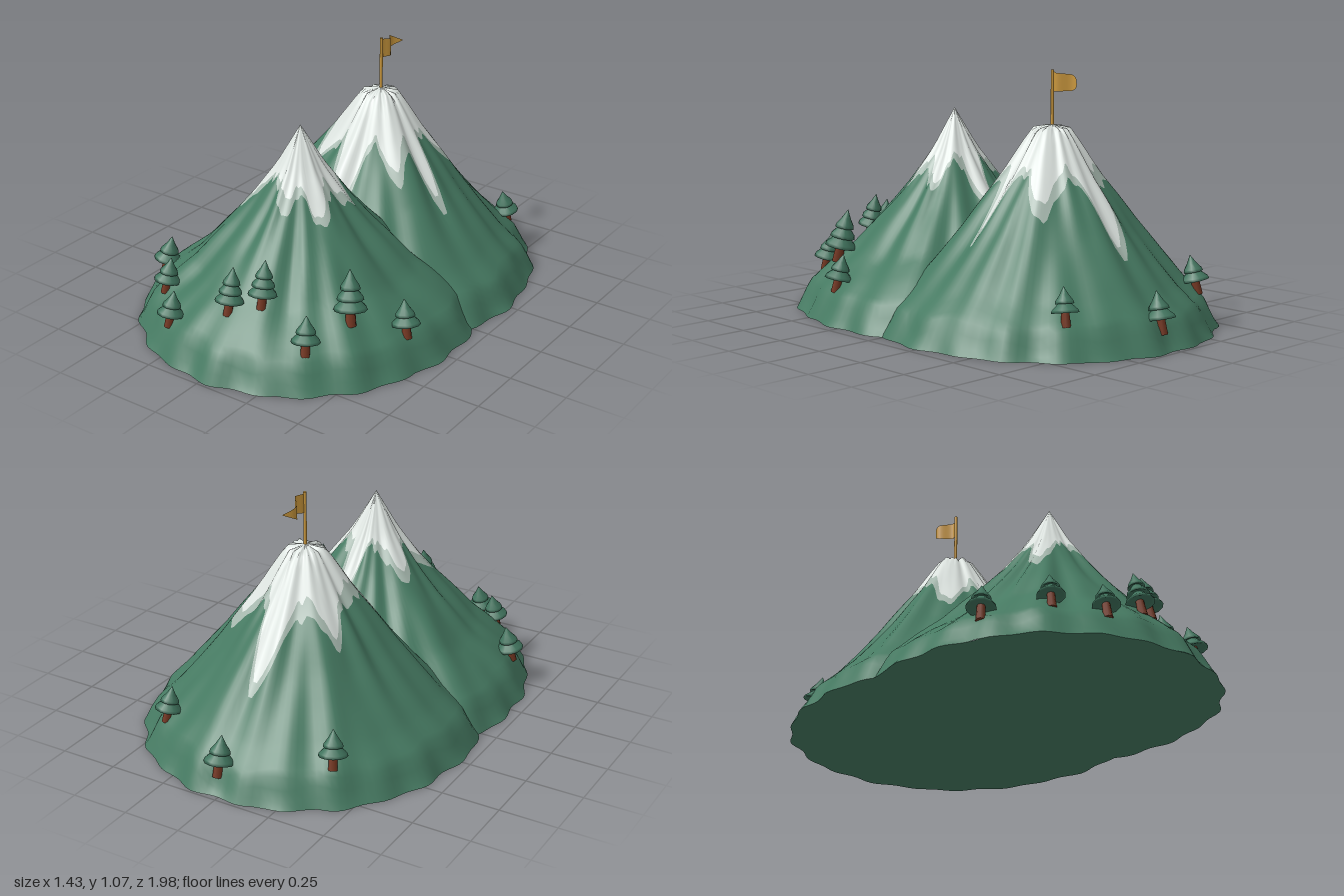
import * as THREE from 'three';

const mat = (name, color, side = THREE.FrontSide) => {
  const m = new THREE.MeshStandardMaterial({ color, side });
  m.name = name;
  return m;
};
const SEG = 144;
const FULL = 0.7;

// Each peak: centre z, slope profile [radius, height], snow arms [angle, reach, width]
const peaks = [
  {
    name: 'frontPeak', z: 0.29, dir: 1, phase: 0.4, snow: 0.11,
    profile: [[0, 0.87], [0.05, 0.78], [0.1, 0.69], [0.2, 0.55], [0.28, 0.455], [0.36, 0.37],
      [0.45, 0.27], [0.55, 0.19], [0.635, 0.115], [0.68, 0.03], [0.7, 0]],
    arms: [[3.02, 0.27, 0.2], [1.04, 0.21, 0.28], [-1.04, 0.2, 0.25], [0.25, 0.16, 0.25],
      [1.94, 0.2, 0.25], [-2.0, 0.21, 0.25]],
  },
  {
    name: 'rearPeak', z: -0.3, dir: -1, phase: 2.1, snow: 0.17,
    profile: [[0, 0.84], [0.075, 0.825], [0.12, 0.76], [0.2, 0.635], [0.28, 0.53], [0.36, 0.42],
      [0.45, 0.31], [0.55, 0.195], [0.635, 0.115], [0.68, 0.03], [0.7, 0]],
    arms: [[0, 0.37, 0.2], [Math.PI, 0.38, 0.2], [2.14, 0.27, 0.22], [-2.14, 0.27, 0.22],
      [0.84, 0.27, 0.2], [-0.84, 0.28, 0.25], [1.37, 0.35, 0.11]],
  },
];

const wrap = (a) => Math.atan2(Math.sin(a), Math.cos(a));
const bump = (a, c, w) => Math.exp(-((wrap(a - c) / w) ** 2));

// Scalloped foot of a peak, a little wider where the two peaks join
function footRadius(p, a) {
  const out = p.dir > 0 ? a : Math.PI - a;
  return 0.688 + 0.045 * (bump(out, 2.0, 0.4) + bump(out, -2.0, 0.4))
    + 0.008 * Math.sin(21 * a + p.phase) + 0.005 * Math.sin(13 * a + 1);
}

function slopeHeight(p, a, r) {
  const t = Math.min(1, r / footRadius(p, a));
  const x = t * FULL;
  const k = Math.max(1, p.profile.findIndex(([pr]) => pr >= x - 1e-6));
  const [r0, y0] = p.profile[k - 1], [r1, y1] = p.profile[k];
  const y = y0 + (y1 - y0) * (x - r0) / (r1 - r0);
  // ridges and gullies running down the slope
  const ridge = 0.5 * Math.sin(6 * a + p.phase + 1.5 * t) + 0.35 * Math.sin(11 * a + 2 * p.phase - 3 * t)
    + 0.25 * Math.sin(17 * a + 5 * t);
  const foot = 0.012 * Math.sin(15 * a + p.phase) * bump(t, 0.95, 0.04);
  return Math.max(0, y + 0.1 * ridge * t * (1 - t) + foot * (t < 1 ? 1 : 0));
}

function groundHeight(x, z) {
  return Math.max(...peaks.map((p) => slopeHeight(p, Math.atan2(x, z - p.z), Math.hypot(x, z - p.z))));
}

function snowReach(p, a) {
  const s = p.arms.reduce((m, [c, r, w]) => Math.max(m, p.snow + (r - p.snow) * bump(a, c, w)), p.snow);
  return s + 0.006 * Math.sin(23 * a) + 0.004 * Math.sin(37 * a);
}

// Polar grid whose rings follow the snow line, so every colour is a band of rings
function buildPeak(p, materials) {
  const bands = [7, 2, 22];
  const rings = bands[0] + bands[1] + bands[2];
  const pos = [], index = [];
  for (let i = 0; i <= rings; i++) {
    for (let j = 0; j < SEG; j++) {
      const a = (j / SEG) * Math.PI * 2;
      const inward = -Math.cos(a) * p.dir;
      const edge = Math.min(footRadius(p, a), inward > 0.01 ? 0.36 / inward : 9);
      const s = Math.min(snowReach(p, a), edge * 0.9);
      const f = Math.min(s * 1.1 + 0.014 + 0.014 * Math.sin(5 * a + p.phase), edge * 0.95);
      let r;
      if (i <= bands[0]) r = s * i / bands[0];
      else if (i <= bands[0] + bands[1]) r = s + (f - s) * (i - bands[0]) / bands[1];
      else r = f + (edge - f) * (i - bands[0] - bands[1]) / bands[2];
      pos.push(r * Math.sin(a), slopeHeight(p, a, r), p.z + r * Math.cos(a));
    }
  }
  for (let i = 0; i < rings; i++) {
    for (let j = 0; j < SEG; j++) {
      const n = (j + 1) % SEG;
      const a = i * SEG + j, b = a + SEG, c = (i + 1) * SEG + n, d = i * SEG + n;
      index.push(a, b, c, a, c, d);
    }
  }
  const geo = new THREE.BufferGeometry();
  geo.setAttribute('position', new THREE.Float32BufferAttribute(pos, 3));
  geo.setIndex(index);
  geo.computeVertexNormals();
  let start = 0;
  bands.forEach((n, k) => {
    geo.addGroup(start, n * SEG * 6, k);
    start += n * SEG * 6;
  });
  const mesh = new THREE.Mesh(geo, materials);
  mesh.name = p.name;
  return mesh;
}

// Flat underside following the joined outline
function buildUnderside(material) {
  const pts = [];
  for (const p of peaks) {
    for (let j = 0; j < SEG; j++) {
      const a = (p.dir > 0 ? -Math.PI : 0) + (j / SEG) * Math.PI * 2;
      const r = footRadius(p, a), z = p.z + r * Math.cos(a);
      if (z * p.dir > 0) pts.push(new THREE.Vector2(r * Math.sin(a), z));
    }
  }
  const mesh = new THREE.Mesh(new THREE.ShapeGeometry(new THREE.Shape(pts)).rotateX(Math.PI / 2), material);
  mesh.name = 'underside';
  return mesh;
}

// Fir tree: tapered trunk and stacked skirts, leaning in towards the mountain
function buildTree([x, z, tiers, size], needles, bark) {
  const tree = new THREE.Group();
  tree.name = 'tree';
  const trunk = new THREE.Mesh(new THREE.CylinderGeometry(0.016, 0.02, 0.08, 8).translate(0, 0.03, 0), bark);
  trunk.name = 'trunk';
  tree.add(trunk);
  for (let i = 0; i < tiers; i++) {
    const r = 0.06 * (1 - i * (tiers === 3 ? 0.2 : 0.32));
    const h = 0.072;
    const skirt = [[0, 0.012], [r * 0.8, 0.004], [r, 0], [r * 0.93, 0.012], [r * 0.5, h * 0.5], [0, h]]
      .map(([a, b]) => new THREE.Vector2(a, b));
    const mesh = new THREE.Mesh(new THREE.LatheGeometry(skirt, 12), needles);
    mesh.name = 'branches';
    mesh.position.y = 0.05 + i * 0.037;
    tree.add(mesh);
  }
  const lean = 0.22, d = Math.hypot(x, z);
  const bx = x * (1 + 0.02 / d), bz = z * (1 + 0.02 / d);
  tree.position.set(bx, groundHeight(bx, bz) - 0.005, bz);
  tree.rotation.set(-lean * z / d, 0, lean * x / d);
  tree.scale.setScalar(size);
  return tree;
}

// Pole with a rippling pennant that trails to the rear
function buildFlag(gold) {
  const flag = new THREE.Group();
  flag.name = 'flag';
  const pole = new THREE.Mesh(new THREE.CylinderGeometry(0.007, 0.007, 0.245, 10), gold);
  pole.name = 'flagPole';
  pole.position.y = 0.943;
  const cloth = new THREE.PlaneGeometry(1, 1, 20, 4);
  const v = cloth.attributes.position;
  for (let i = 0; i < v.count; i++) {
    const u = v.getX(i) + 0.5, w = v.getY(i);
    const tall = u < 0.62 ? 0.085 - 0.03 * u : 0.066 * (1 - u) / 0.38;
    v.setXYZ(i, 0.022 * Math.sin(u * 7) * Math.min(1, u * 4), 1.018 + w * tall - 0.004 * u, -0.15 * u);
  }
  cloth.computeVertexNormals();
  const pennant = new THREE.Mesh(cloth, gold);
  pennant.name = 'pennant';
  flag.add(pole, pennant);
  flag.position.z = -0.3;
  return flag;
}

export function createModel() {
  const grass = mat('mountain green', 0x467a62);
  const snow = mat('snow white', 0xdde4e0);
  const fringe = mat('thin snow grey', 0xa6b8ae);
  const needles = mat('fir green', 0x40735d);
  const bark = mat('bark brown', 0x733621);
  const gold = mat('flag gold', 0xc8963c, THREE.DoubleSide);

  const model = new THREE.Group();
  model.name = 'mountain';
  for (const p of peaks) model.add(buildPeak(p, [snow, fringe, grass]));
  model.add(buildUnderside(grass), buildFlag(gold));

  // x, z, number of skirts, size
  const trees = [
    [-0.57, 0.48, 2, 1.0], [-0.4, 0.68, 2, 0.95], [-0.26, 0.83, 2, 0.95], [0, 0.77, 3, 1.0],
    [0.12, 0.71, 3, 1.0], [0.35, 0.74, 2, 1.0], [0.43, 0.55, 3, 1.15], [0.58, 0.38, 2, 1.0],
    [-0.39, -0.74, 2, 1.0], [0.03, -0.91, 2, 1.05], [0.39, -0.74, 2, 0.95],
  ];
  for (const t of trees) model.add(buildTree(t, needles, bark));
  return model;
}
